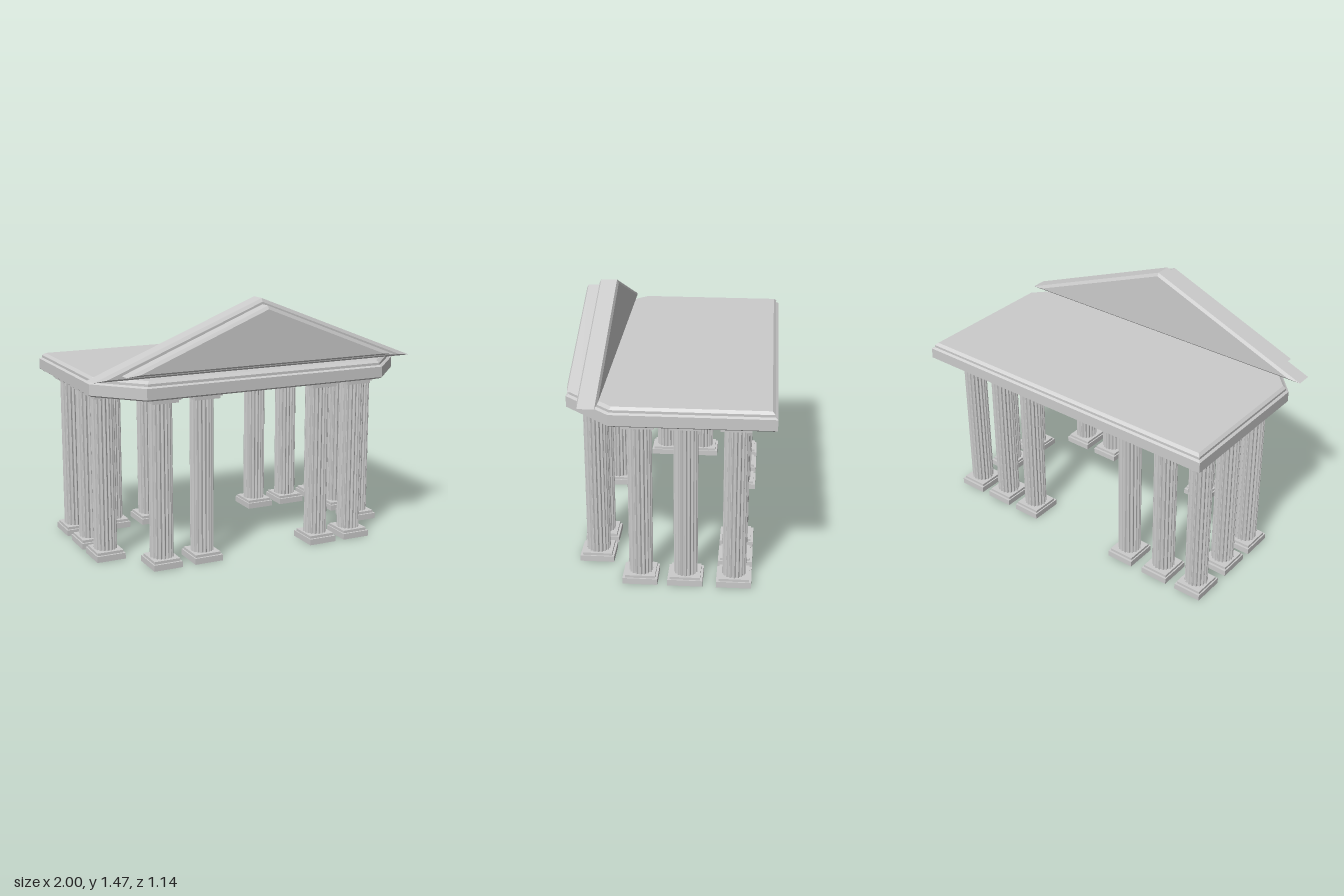
import * as THREE from 'three';

const material = new THREE.MeshStandardMaterial({ color: 0xcccccc, flatShading: true, side: THREE.DoubleSide });

// Closed solid through convex-capped rings stacked along z; each ring is [z, [[x, y], ...]], counter-clockwise.
function loft(rings) {
  const n = rings[0][1].length, pos = [], idx = [];
  for (const [z, pts] of rings) for (const [x, y] of pts) pos.push(x, y, z);
  for (let r = 0; r < rings.length - 1; r++) {
    for (let i = 0; i < n; i++) {
      const a = r * n + i, b = r * n + (i + 1) % n;
      idx.push(a, b, b + n, a, b + n, a + n);
    }
  }
  // end caps fan out from a centre point
  for (const [r, flip] of [[0, true], [rings.length - 1, false]]) {
    const [z, pts] = rings[r], c = pos.length / 3;
    pos.push(pts.reduce((s, p) => s + p[0], 0) / n, pts.reduce((s, p) => s + p[1], 0) / n, z);
    for (let i = 0; i < n; i++) {
      const a = r * n + i, b = r * n + (i + 1) % n;
      if (flip) idx.push(c, b, a); else idx.push(c, a, b);
    }
  }
  const g = new THREE.BufferGeometry();
  g.setAttribute('position', new THREE.Float32BufferAttribute(pos, 3));
  g.setIndex(idx);
  const flat = g.toNonIndexed();
  flat.computeVertexNormals();
  return flat;
}

function add(parent, name, geometry, x = 0, y = 0, z = 0) {
  const mesh = new THREE.Mesh(geometry, material);
  mesh.name = name;
  mesh.position.set(x, y, z);
  parent.add(mesh);
  return mesh;
}

// Fluted shaft outline
function flutedRing(radius, depth, flutes) {
  const profile = [0, 0, 0.7, 1, 0.7], n = flutes * profile.length;
  return Array.from({ length: n }, (_, i) => {
    const a = (i / n) * Math.PI * 2, r = radius - depth * profile[i % profile.length];
    return [r * Math.cos(a), r * Math.sin(a)];
  });
}

// Triangular slab with bevelled front and back edges
function gable(halfWidth, bottom, top, back, front, bevel) {
  const cy = bottom + (top - bottom) / 3;
  const ring = s => [[-halfWidth, bottom], [halfWidth, bottom], [0, top]]
    .map(([x, y]) => [x * s, cy + (y - cy) * s]);
  const s = 1 - bevel / (cy - bottom);
  return loft([[back, ring(s)], [back + bevel, ring(1)], [front - bevel, ring(1)], [front, ring(s)]]);
}

export function createModel() {
  const model = new THREE.Group();

  // Entablature: six-sided slab with the front corners cut off and stepped mouldings
  const plan = [[-0.735, -0.568], [0.745, -0.568], [0.983, -0.31], [0.983, 0.575], [-0.968, 0.575], [-0.968, -0.31]];
  const slabRing = inset => plan.map(([x, y]) => [x * (1 - inset / 0.976), y * (1 - inset / 0.572)]);
  const mouldings = [[0.97, 0.015], [0.98, 0], [1.042, 0], [1.05, 0.014], [1.064, 0.014], [1.078, 0.03]];
  add(model, 'entablature', loft(mouldings.map(([y, inset]) => [y, slabRing(inset)])).rotateX(-Math.PI / 2));

  // Pediment: large gable with a smaller raised one in front
  add(model, 'pediment', gable(1, 1.078, 1.473, 0.365, 0.477, 0.01));
  add(model, 'pedimentPanel', gable(0.84, 1.105, 1.44, 0.465, 0.552, 0.01));

  // Column parts, shared by all columns
  const ring = flutedRing(0.067, 0.008, 18);
  const shaft = loft([[0.045, ring], [0.945, ring]]).rotateX(-Math.PI / 2);
  const wide = [0.171, 0.195], narrow = [0.155, 0.168];
  const blocks = [
    ['plinth', wide, 0, 0.035], ['baseStep', narrow, 0.035, 0.05],
    ['capitalStep', narrow, 0.94, 0.957], ['capital', wide, 0.957, 0.975],
  ].map(([name, [w, d], y0, y1]) => [name, new THREE.BoxGeometry(w, y1 - y0, d), (y0 + y1) / 2]);

  // Rows of columns: front row, two side rows, full back row
  const xs = [-0.84, -0.605, -0.355, 0.39, 0.62, 0.847];
  const rows = [
    [0.43, xs.slice(1, 5)],
    [0.16, [xs[0], xs[5]]],
    [-0.09, [xs[0], xs[5]]],
    [-0.36, xs],
  ];
  for (const [z, row] of rows) {
    for (const x of row) {
      const column = new THREE.Group();
      column.name = 'column';
      column.position.set(x, 0, z);
      add(column, 'shaft', shaft);
      for (const [name, geometry, y] of blocks) add(column, name, geometry, 0, y);
      model.add(column);
    }
  }
  return model;
}
